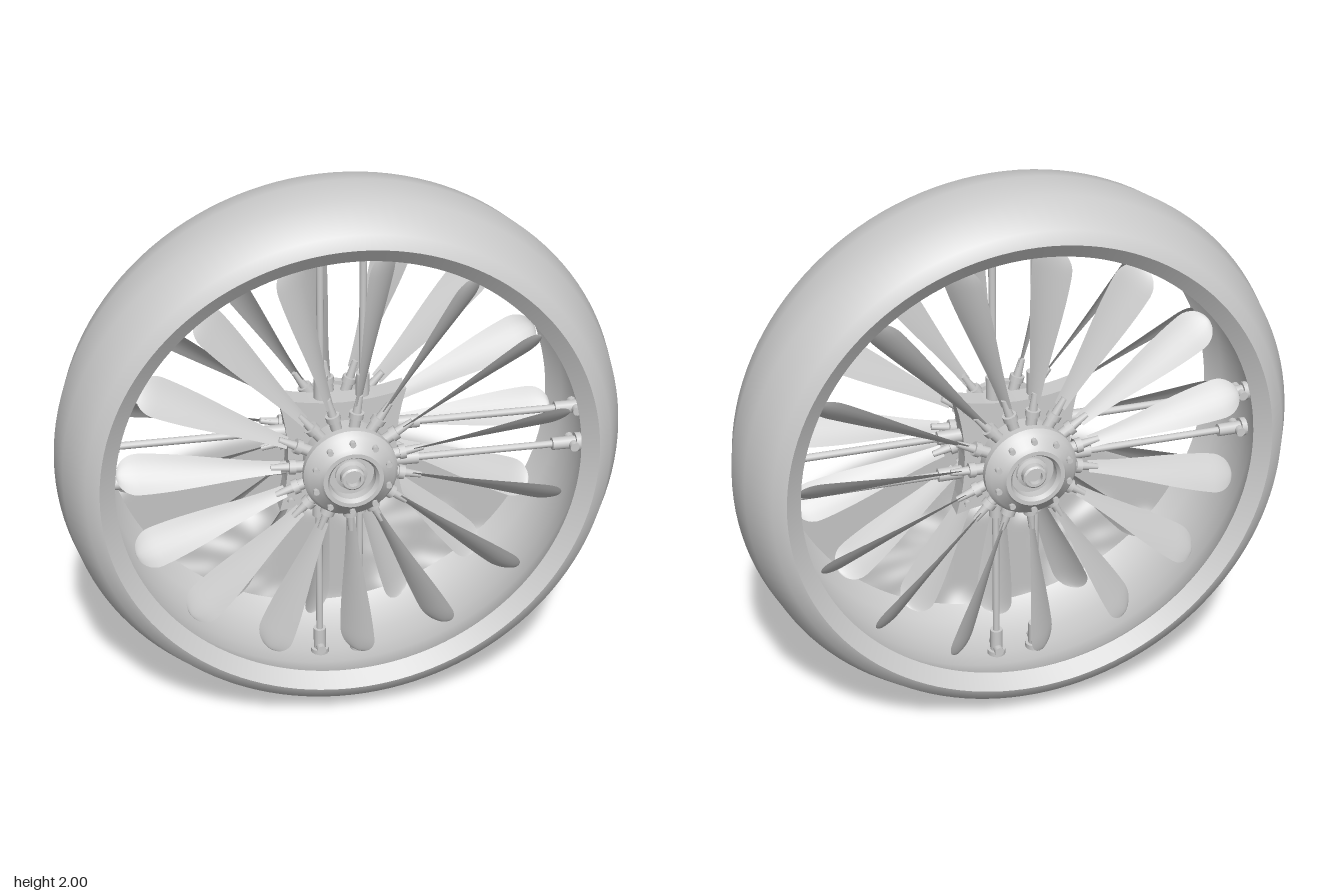
import * as THREE from 'three';
import { toCreasedNormals } from 'three/addons/utils/BufferGeometryUtils.js';

const BLADES = 15;
const mat = new THREE.MeshStandardMaterial({ color: 0xcccccc });
const thin = new THREE.MeshStandardMaterial({ color: 0xcccccc, side: THREE.DoubleSide });

function add(parent, name, geometry, x = 0, y = 0, z = 0, material = mat) {
  const mesh = new THREE.Mesh(geometry, material);
  mesh.name = name;
  mesh.position.set(x, y, z);
  parent.add(mesh);
  return mesh;
}

function group(parent, name, angle = 0) {
  const g = new THREE.Group();
  g.name = name;
  g.rotation.z = angle;
  parent.add(g);
  return g;
}

// Profile of [radius, z] points turned about the z axis
function turned(points, segments, crease = 0.65) {
  const g = new THREE.LatheGeometry(points.map(p => new THREE.Vector2(...p)), segments);
  return toCreasedNormals(g.rotateX(Math.PI / 2), crease);
}

// Cylinder lying along z
const zCylinder = (r, length, n = 16) => new THREE.CylinderGeometry(r, r, length, n).rotateX(Math.PI / 2);

// Twisted paddle blade along +x, narrow at the root and round at the tip
function bladeGeometry() {
  const g = new THREE.PlaneGeometry(1, 1, 24, 6);
  const p = g.attributes.position;
  const r0 = 0.235, r1 = 0.8, tip = 0.075;
  for (let i = 0; i < p.count; i++) {
    const t = Math.sin((p.getX(i) + 0.5) * Math.PI / 2);
    const v = p.getY(i);
    const r = r0 + (r1 - r0) * t;
    const over = Math.max(0, (r - (r1 - tip)) / tip);
    const chord = (0.045 + 0.1 * THREE.MathUtils.smoothstep(t, -0.1, 0.9))
      * Math.sqrt(Math.max(0, 1 - over * over));
    const pitch = 0.95 - 0.25 * t;
    const w = v * chord, camber = 0.07 * chord * (1 - 4 * v * v);
    p.setXYZ(i, r,
      w * Math.cos(pitch) - camber * Math.sin(pitch),
      w * Math.sin(pitch) + camber * Math.cos(pitch));
  }
  g.computeVertexNormals();
  return g;
}

// Blades' mirrored twin for the counter-rotating side
function mirrorZ(geometry) {
  const g = geometry.clone().scale(1, 1, -1);
  const idx = g.index;
  for (let i = 0; i < idx.count; i += 3) {
    const a = idx.getX(i);
    idx.setX(i, idx.getX(i + 1));
    idx.setX(i + 1, a);
  }
  g.computeVertexNormals();
  return g;
}

// One rotor: hub with bolts, blade roots and blades; side is +1 front, -1 back
function addRotor(parent, name, side, phase) {
  const rotor = group(parent, name);
  const hub = group(rotor, 'hub');
  if (side < 0) hub.rotation.y = Math.PI;
  add(hub, 'hubShell', turned([
    [0.001, 0.08], [0.14, 0.08], [0.15, 0.09], [0.15, 0.17], [0.165, 0.17], [0.165, 0.195],
    [0.15, 0.215], [0.115, 0.235], [0.105, 0.25], [0.09, 0.25], [0.08, 0.235], [0.08, 0.2], [0.001, 0.2],
  ], 48, 0.5));
  add(hub, 'hubBoss', turned([
    [0.055, 0.2], [0.055, 0.21], [0.042, 0.215], [0.042, 0.24], [0.036, 0.245],
    [0.026, 0.245], [0.026, 0.225], [0.001, 0.225],
  ], 32, 0.5));
  const bolt = zCylinder(0.011, 0.025, 8);
  for (let i = 0; i < 10; i++) {
    const a = (i + 0.5) * Math.PI / 5;
    add(hub, 'hubBolt', bolt, 0.133 * Math.cos(a), 0.133 * Math.sin(a), 0.226);
  }
  const blade = side > 0 ? bladeGeometry() : mirrorZ(bladeGeometry());
  const root = new THREE.CylinderGeometry(0.02, 0.02, 0.07, 12).rotateZ(-Math.PI / 2);
  const collar = new THREE.CylinderGeometry(0.026, 0.026, 0.022, 12).rotateZ(-Math.PI / 2);
  const socket = new THREE.CylinderGeometry(0.011, 0.016, 0.07, 12).rotateZ(-Math.PI / 2);
  for (let i = 0; i < BLADES; i++) {
    const arm = group(rotor, 'bladeArm', phase + i * 2 * Math.PI / BLADES);
    arm.position.z = 0.135 * side;
    add(arm, 'bladeRoot', root, 0.17);
    add(arm, 'bladeCollar', collar, 0.195);
    add(arm, 'bladeSocket', socket, 0.235);
    add(arm, 'blade', blade, 0, 0, 0, thin);
  }
}

// Square gearbox plate with drawn-in sides
function plateGeometry() {
  const s = new THREE.Shape();
  s.moveTo(0.225, 0.225);
  for (const [x, y] of [[-1, 1], [-1, -1], [1, -1], [1, 1]]) {
    const horizontal = x * y < 0;
    const cx = horizontal ? 0 : 0.16 * x, cy = horizontal ? 0.16 * y : 0;
    s.quadraticCurveTo(cx, cy, 0.225 * x, 0.225 * y);
  }
  return new THREE.ExtrudeGeometry(s, { depth: 0.08, bevelEnabled: false, curveSegments: 8 })
    .translate(0, 0, -0.04);
}

export function createModel() {
  const model = new THREE.Group();
  model.name = 'ductedFan';
  const fan = group(model, 'fan');
  fan.position.y = 1;

  // Duct: faceted outer bulge, chamfered lips and hollowed inner wall
  add(fan, 'ductRing', turned([
    [0.81, -0.23], [0.865, -0.27], [0.91, -0.25], [0.978, -0.12], [1, 0], [0.978, 0.12], [0.91, 0.25],
    [0.865, 0.27], [0.81, 0.23], [0.855, 0.17], [0.88, 0.08], [0.885, 0],
    [0.88, -0.08], [0.855, -0.17], [0.81, -0.23],
  ], 128, 0.75));

  addRotor(fan, 'frontRotor', 1, THREE.MathUtils.degToRad(9));
  addRotor(fan, 'backRotor', -1, THREE.MathUtils.degToRad(1));

  // Central gearbox between the rotors
  add(fan, 'gearboxPlate', plateGeometry());
  add(fan, 'driveShaft', zCylinder(0.11, 0.2, 32));
  const plateBolt = zCylinder(0.013, 0.11, 8);
  for (const x of [-0.185, 0.185]) for (const y of [-0.185, 0.185]) add(fan, 'plateBolt', plateBolt, x, y);

  // Four pairs of stay rods holding the gearbox inside the duct
  const rod = new THREE.CylinderGeometry(0.013, 0.013, 0.62, 12);
  const inner = new THREE.CylinderGeometry(0.024, 0.024, 0.13, 16);
  const outer = new THREE.CylinderGeometry(0.023, 0.023, 0.09, 16);
  const foot = new THREE.CylinderGeometry(0.034, 0.034, 0.02, 16);
  const pin = zCylinder(0.017, 0.085, 12);
  for (let i = 0; i < 4; i++) {
    const stays = group(fan, 'stayPair', i * Math.PI / 2);
    for (const x of [-0.07, 0.078]) {
      add(stays, 'stayRod', rod, x, 0.54);
      add(stays, 'innerSleeve', inner, x, 0.215);
      add(stays, 'outerSleeve', outer, x, 0.82);
      add(stays, 'stayFoot', foot, x, 0.87);
      add(stays, 'footPin', pin, x, 0.85);
    }
  }
  return model;
}
